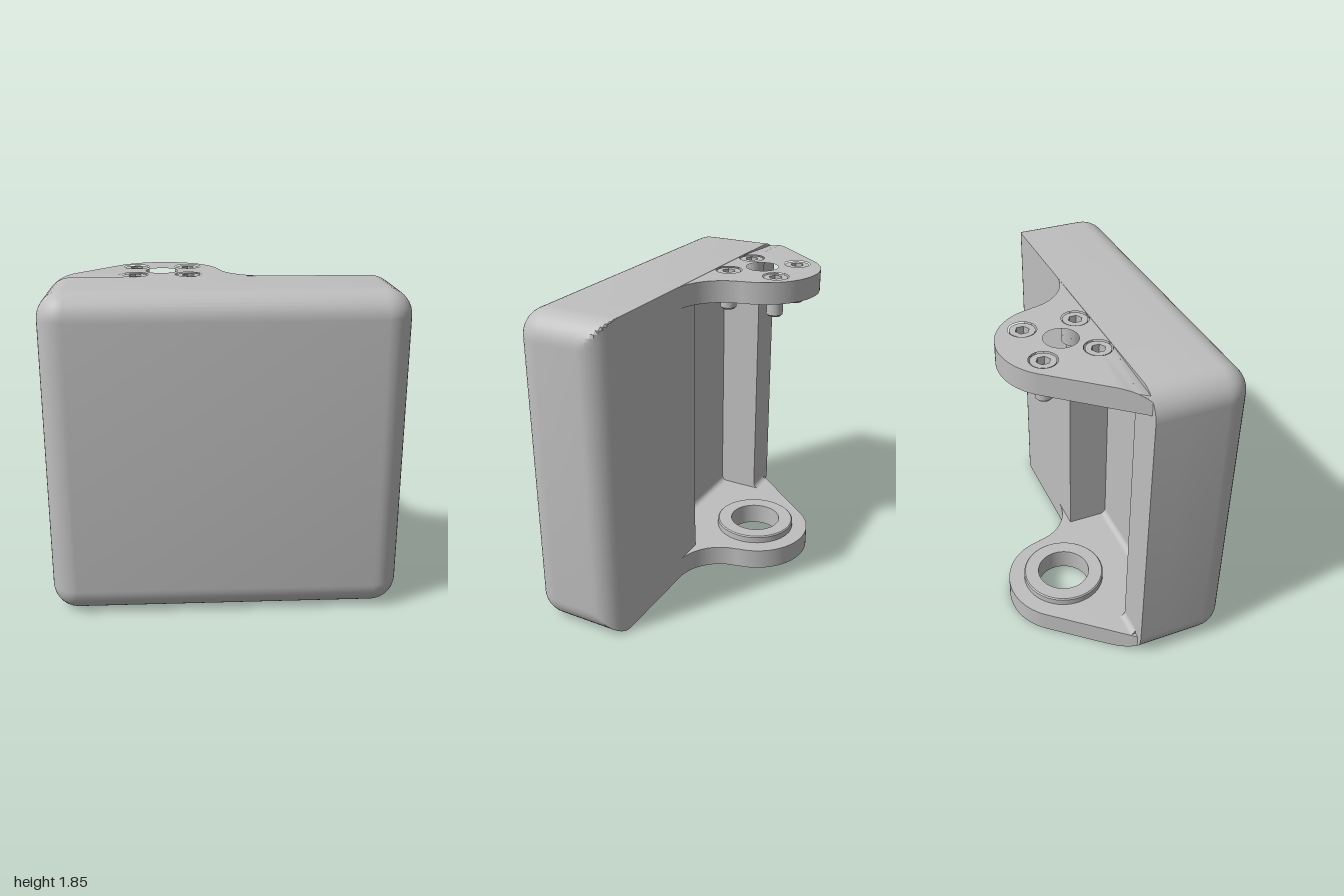
import * as THREE from 'three';
import { toCreasedNormals } from 'three/addons/utils/BufferGeometryUtils.js';

const H = 1.85, FRONT = 0.55, R = 0.15;          // cover height, front plane, edge radius
const PLATE = 0.125;                             // lug plate thickness
const PIVOT = { x: -0.343, z: -0.217 };          // hinge axis
const POCKET = { x0: -0.78, x1: 0.08, depth: 0.25 };

const grey = new THREE.MeshStandardMaterial({ color: 0xbfbfbf });
grey.name = 'grey metal';

function add(parent, name, geometry, x = 0, y = 0, z = 0) {
  const mesh = new THREE.Mesh(geometry, grey);
  mesh.name = name;
  mesh.position.set(x, y, z);
  parent.add(mesh);
  return mesh;
}

// Rounded rectangle in xy, inset evenly and optionally cut off at xMax
function ring(inset, xMax = 1) {
  const pts = [], steps = 10, r = R - inset;
  const corners = [[1, 0, -90], [1, 1, 0], [-1, 1, 90], [-1, 0, 180]];
  for (const [sx, top, start] of corners) {
    for (let i = 0; i <= steps; i++) {
      const a = THREE.MathUtils.degToRad(start + 90 * i / steps);
      const x = sx * (1 - R) + r * Math.cos(a);
      const y = (top ? H - R : R) + r * Math.sin(a);
      pts.push([Math.min(x, xMax), y]);
    }
  }
  return pts;
}

// Cover shell: rounded front, straight sides, rounded rear edge on +x only
function coverGeometry() {
  const rings = [], steps = 10;
  for (let i = 0; i <= steps; i++) {
    const a = Math.PI / 2 * i / steps;
    rings.push([FRONT - R + R * Math.cos(a), ring(R * (1 - Math.sin(a)))]);
  }
  for (let i = 0; i <= steps; i++) {
    const a = Math.PI / 2 * i / steps;
    rings.push([R - R * Math.sin(a), ring(0, 1 - R + R * Math.cos(a))]);
  }
  const n = rings[0][1].length, pos = [], idx = [];
  rings.forEach(([z, pts]) => pts.forEach(([x, y]) => pos.push(x, y, z)));
  const centre = pos.length / 3;
  pos.push(0, H / 2, FRONT);
  for (let j = 0; j < n; j++) {
    const k = (j + 1) % n;
    idx.push(centre, j, k);
    for (let i = 0; i < rings.length - 1; i++) {
      const a = i * n + j, b = i * n + k;
      idx.push(a, a + n, b, b, a + n, b + n);
    }
  }
  const g = new THREE.BufferGeometry();
  g.setAttribute('position', new THREE.Float32BufferAttribute(pos, 3));
  g.setIndex(idx);
  return toCreasedNormals(g, 0.5);
}

// Flat rear face with the pocket opening
function rearFaceGeometry() {
  const shape = new THREE.Shape(ring(0, 1 - R).map(([x, y]) => new THREE.Vector2(-x, y)));
  const { x0, x1 } = POCKET;
  shape.holes.push(new THREE.Path([[-x0, PLATE], [-x1, PLATE], [-x1, H - PLATE], [-x0, H - PLATE]]
    .map(([x, y]) => new THREE.Vector2(x, y))));
  return new THREE.ShapeGeometry(shape).rotateY(Math.PI);
}

// Inward-facing box, open at the rear
function pocketGeometry() {
  const { x0, x1, depth } = POCKET;
  let g = new THREE.BoxGeometry(x1 - x0, H - 2 * PLATE, depth).scale(1, 1, -1);
  g.setIndex([...g.index.array].filter((_, i) => i < 24 || i >= 30));
  g.clearGroups();
  g = g.toNonIndexed();
  g.computeVertexNormals();
  return g.translate((x0 + x1) / 2, H / 2, depth / 2);
}

function circle(x, y, r) {
  return new THREE.Path().absarc(x, y, r, 0, Math.PI * 2, true);
}

// Lug plate; its -x end follows the rounded corner of the cover
function plateGeometry(holes, top) {
  const cx = PIVOT.x, cv = -PIVOT.z, rad = THREE.MathUtils.degToRad;
  const trimX = [-0.95, -0.935, -0.915, -0.89, -0.85];
  const s = new THREE.Shape();
  s.moveTo(-0.96, 0);
  trimX.forEach(x => s.lineTo(x, (x + 0.96) * 1.209));
  s.absarc(cx, cv, 0.337, rad(140.4), rad(6), true);
  s.absarc(0.28, 0.285, 0.285, rad(186), rad(270), false);
  [...trimX].reverse().forEach(x => s.lineTo(x, 0));
  s.closePath();
  s.holes = holes.map(([x, z, r]) => circle(x, -z, r));
  const g = new THREE.ExtrudeGeometry(s, { depth: PLATE, bevelEnabled: false, curveSegments: 32 });
  g.rotateX(-Math.PI / 2);
  const p = g.attributes.position;
  for (let i = 0; i < p.count; i++) {
    const d = Math.max(0, -(1 - R) - p.getX(i));
    const drop = R - Math.sqrt(R * R - d * d);
    p.setY(i, top ? Math.min(p.getY(i), PLATE - drop) : Math.max(p.getY(i), drop));
  }
  return toCreasedNormals(g, 0.5);
}

// Concave fillet strip along x, in the corner of a wall (facing -z) and a floor or ceiling
function filletGeometry(length, up) {
  const r = 0.035, s = new THREE.Shape();
  s.moveTo(0, 0);
  s.lineTo(r, 0);
  s.absarc(r, r, r, -Math.PI / 2, -Math.PI, true);
  s.closePath();
  const g = new THREE.ExtrudeGeometry(s, { depth: length, bevelEnabled: false, curveSegments: 6 });
  g.rotateY(Math.PI / 2);
  if (!up) g.rotateX(Math.PI / 2);
  return toCreasedNormals(g, 0.5);
}

// Socket head screw, y = 0 at the top of the head
function screw() {
  const group = new THREE.Group();
  const head = new THREE.Shape().absarc(0, 0, 0.068, 0, Math.PI * 2, false);
  const hex = [];
  for (let i = 0; i < 6; i++) {
    const a = Math.PI / 2 - i * Math.PI / 3;
    hex.push(new THREE.Vector2(0.038 * Math.cos(a), 0.038 * Math.sin(a)));
  }
  head.holes.push(new THREE.Path(hex));
  const hg = new THREE.ExtrudeGeometry(head, { depth: 0.08, bevelEnabled: false, curveSegments: 20 });
  add(group, 'screwHead', toCreasedNormals(hg.rotateX(-Math.PI / 2), 0.5), 0, -0.08, 0);
  const shank = new THREE.LatheGeometry([[0, -0.222], [0.036, -0.222], [0.047, -0.211], [0.047, -0.045], [0, -0.045]]
    .map(([x, y]) => new THREE.Vector2(x, y)), 24);
  add(group, 'screwShank', toCreasedNormals(shank, 0.5));
  // Floor of the counterbore
  add(group, 'counterboreSeat', new THREE.CylinderGeometry(0.0755, 0.0755, 0.045, 32), 0, -0.0985, 0);
  return group;
}

export function createModel() {
  const model = new THREE.Group();
  model.name = 'hingedCover';

  add(model, 'coverShell', coverGeometry());
  add(model, 'coverRearFace', rearFaceGeometry());
  add(model, 'rearPocket', pocketGeometry());

  // Upper lug with four screws around the pivot hole
  const spots = [];
  for (const x of [-0.495, -0.19]) for (const z of [-0.37, -0.077]) spots.push([x, z]);
  add(model, 'upperLug',
    plateGeometry([[PIVOT.x, PIVOT.z, 0.093], ...spots.map(([x, z]) => [x, z, 0.075])], true), 0, H - PLATE, 0);
  for (const [x, z] of spots) {
    const bolt = screw();
    bolt.name = 'socketScrew';
    bolt.position.set(x, H - 0.004, z);
    model.add(bolt);
  }

  // Lower lug with a flanged bushing
  add(model, 'lowerLug', plateGeometry([[PIVOT.x, PIVOT.z, 0.205]], false));
  const bushing = new THREE.LatheGeometry([
    [0.155, 0.04], [0.206, 0.04], [0.206, 0.125], [0.243, 0.125], [0.243, 0.163], [0.236, 0.17], [0.155, 0.17], [0.155, 0.04],
  ].map(([x, y]) => new THREE.Vector2(x, y)), 48);
  add(model, 'bushing', toCreasedNormals(bushing, 0.5), PIVOT.x, 0, PIVOT.z);

  // Small fillets where the lugs meet the pocket and the rear face
  const { x0, x1, depth } = POCKET;
  for (const [y, up] of [[PLATE, true], [H - PLATE, false]]) {
    add(model, 'pocketFillet', filletGeometry(x1 - x0, up), x0, y, depth);
    add(model, 'lugFillet', filletGeometry(x0 + 0.93, up), -0.93, y, 0);
  }
  return model;
}
